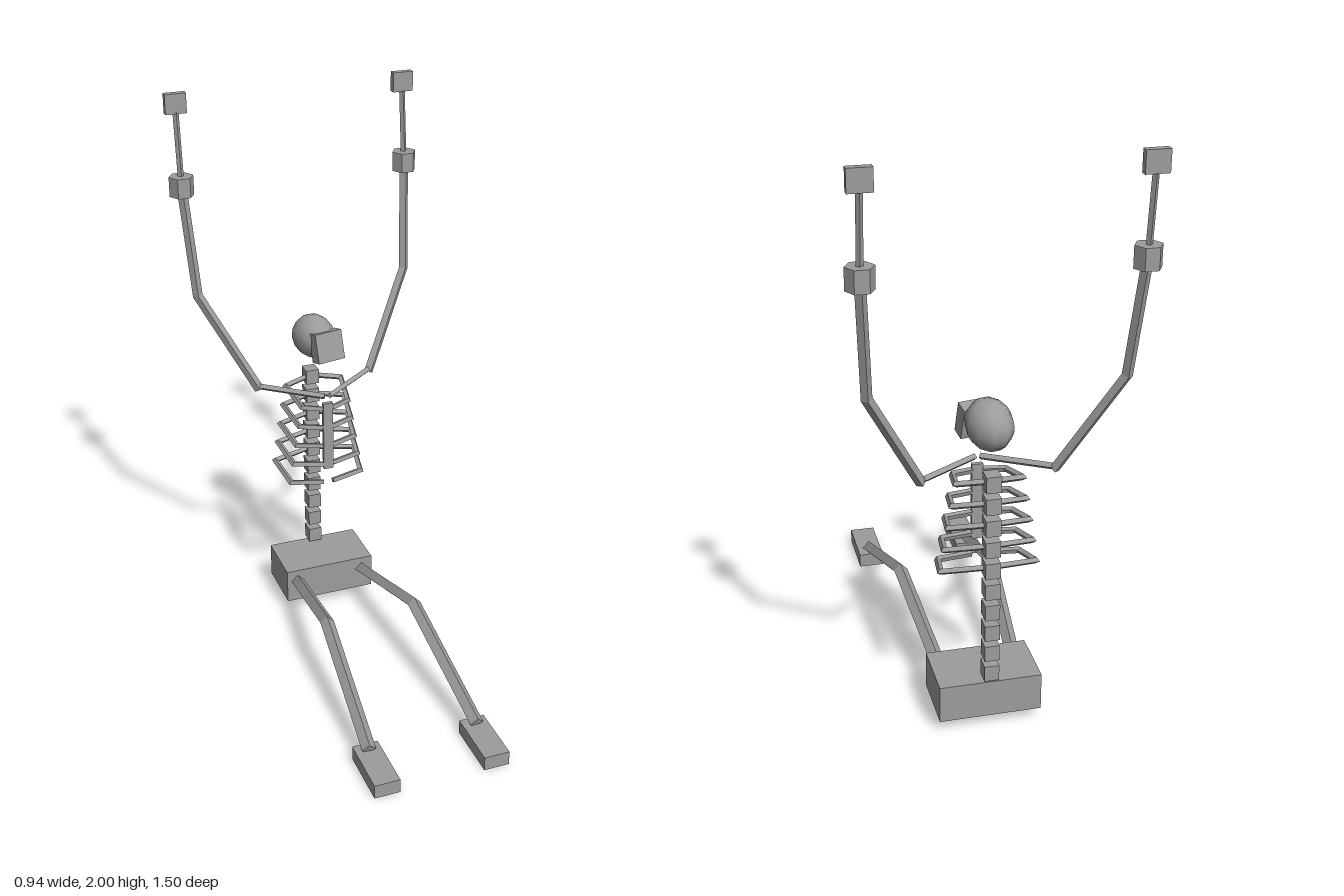
import * as THREE from 'three';

const bone = new THREE.MeshStandardMaterial({ color: 0x9c9c9c });
bone.name = 'bone grey';

const V = (x, y, z) => new THREE.Vector3(x, y, z);

function add(parent, name, geometry, x = 0, y = 0, z = 0) {
  const mesh = new THREE.Mesh(geometry, bone);
  mesh.name = name;
  mesh.position.set(x, y, z);
  parent.add(mesh);
  return mesh;
}

const box = (parent, name, w, h, d, x, y, z) =>
  add(parent, name, new THREE.BoxGeometry(w, h, d), x, y, z);

// Four-sided bar with mitred joints along a list of points
function bar(points, radius, up) {
  const n = points.length;
  const dirs = points.slice(1).map((p, i) => p.clone().sub(points[i]).normalize());
  const u = up.clone().addScaledVector(dirs[0], -up.dot(dirs[0])).normalize();
  const v = dirs[0].clone().cross(u);
  let ring = [0, 1, 2, 3].map(k => u.clone().multiplyScalar(Math.cos(k * Math.PI / 2))
    .addScaledVector(v, Math.sin(k * Math.PI / 2)).multiplyScalar(radius));
  const rings = points.map((p, i) => {
    if (i > 0) {
      const d = dirs[i - 1];
      const t = d.clone().add(dirs[Math.min(i, n - 2)]).normalize();
      ring = ring.map(o => o.clone().addScaledVector(d, -o.dot(t) / d.dot(t)));
    }
    return ring.map(o => o.clone().add(p));
  });
  const pos = [];
  const quad = (a, b, c, d) => [a, b, c, a, c, d].forEach(q => pos.push(q.x, q.y, q.z));
  for (let i = 0; i < n - 1; i++) {
    for (let k = 0; k < 4; k++) {
      const m = (k + 1) % 4;
      quad(rings[i][k], rings[i][m], rings[i + 1][m], rings[i + 1][k]);
    }
  }
  const [a, b, c, d] = rings[0];
  quad(d, c, b, a);
  quad(...rings[n - 1]);
  const geometry = new THREE.BufferGeometry();
  geometry.setAttribute('position', new THREE.Float32BufferAttribute(pos, 3));
  geometry.computeVertexNormals();
  return geometry;
}

export function createModel() {
  const model = new THREE.Group();
  model.name = 'skeleton';
  const Y = V(0, 1, 0), Z = V(0, 0, 1);

  // Pelvis, spine and breastbone
  box(model, 'pelvis', 0.35, 0.133, 0.215, 0, 0.11, -0.488);
  const vertebraY = i => 0.215 + i * 0.0778;
  for (let i = 0; i < 10; i++) {
    box(model, 'vertebra', 0.05, 0.056, 0.054, 0, vertebraY(i), -0.578);
  }
  box(model, 'breastbone', 0.038, 0.275, 0.016, 0, 0.748, -0.383);

  // Head turned slightly to its left, with the face block in front
  const skull = add(model, 'skull', new THREE.SphereGeometry(1, 10, 8), 0, 1.095, -0.535);
  skull.scale.set(0.076, 0.083, 0.095);
  skull.rotation.set(-0.25, 0.19, 0, 'YXZ');
  const face = box(model, 'face', 0.11, 0.11, 0.05, 0.025, 1.083, -0.453);
  face.rotation.set(-0.25, 0.19, 0, 'YXZ');

  for (const s of [1, -1]) {
    const side = new THREE.Group();
    side.name = s > 0 ? 'leftSide' : 'rightSide';
    model.add(side);

    // Ribs slope down toward the front; the lowest pair floats
    for (let i = 5; i < 10; i++) {
      const y = vertebraY(i);
      const w = 0.11 + (9 - i) * 0.0125;
      add(side, 'rib', bar([
        V(0, y, -0.575), V(s * w, y - 0.014, -0.543),
        V(s * (w - 0.02), y - 0.046, -0.41), V(s * 0.018, y - 0.053, -0.384),
      ], 0.011, Y));
    }

    // Collarbone and raised arm
    add(side, 'collarbone', bar([V(s * 0.01, 0.912, -0.386), V(s * 0.215, 0.922, -0.53)], 0.012, Y));
    add(side, 'arm', bar([
      V(s * 0.218, 0.912, -0.53), V(s * 0.405, 1.27, -0.647), V(s * 0.426, 1.65, -0.708),
    ], 0.018, Z));

    // Hexagonal wrist, thin palm rod and square finger plate
    const wrist = new THREE.CylinderGeometry(0.045, 0.045, 0.072, 6).rotateY(Math.PI / 6).toNonIndexed();
    wrist.computeVertexNormals();
    add(side, 'wrist', wrist, s * 0.427, 1.672, -0.711);
    add(side, 'palmRod', bar([V(s * 0.427, 1.69, -0.712), V(s * 0.427, 1.94, -0.737)], 0.011, Z));
    box(side, 'fingers', 0.077, 0.072, 0.026, s * 0.427, 1.964, -0.739);

    // Bent leg and flat foot
    add(side, 'leg', bar([
      V(s * 0.13, 0.122, -0.41), V(s * 0.17, 0.243, 0.075), V(s * 0.2, 0.06, 0.583),
    ], 0.025, Y));
    box(side, 'foot', 0.092, 0.052, 0.212, s * 0.199, 0.026, 0.646);
  }
  return model;
}
